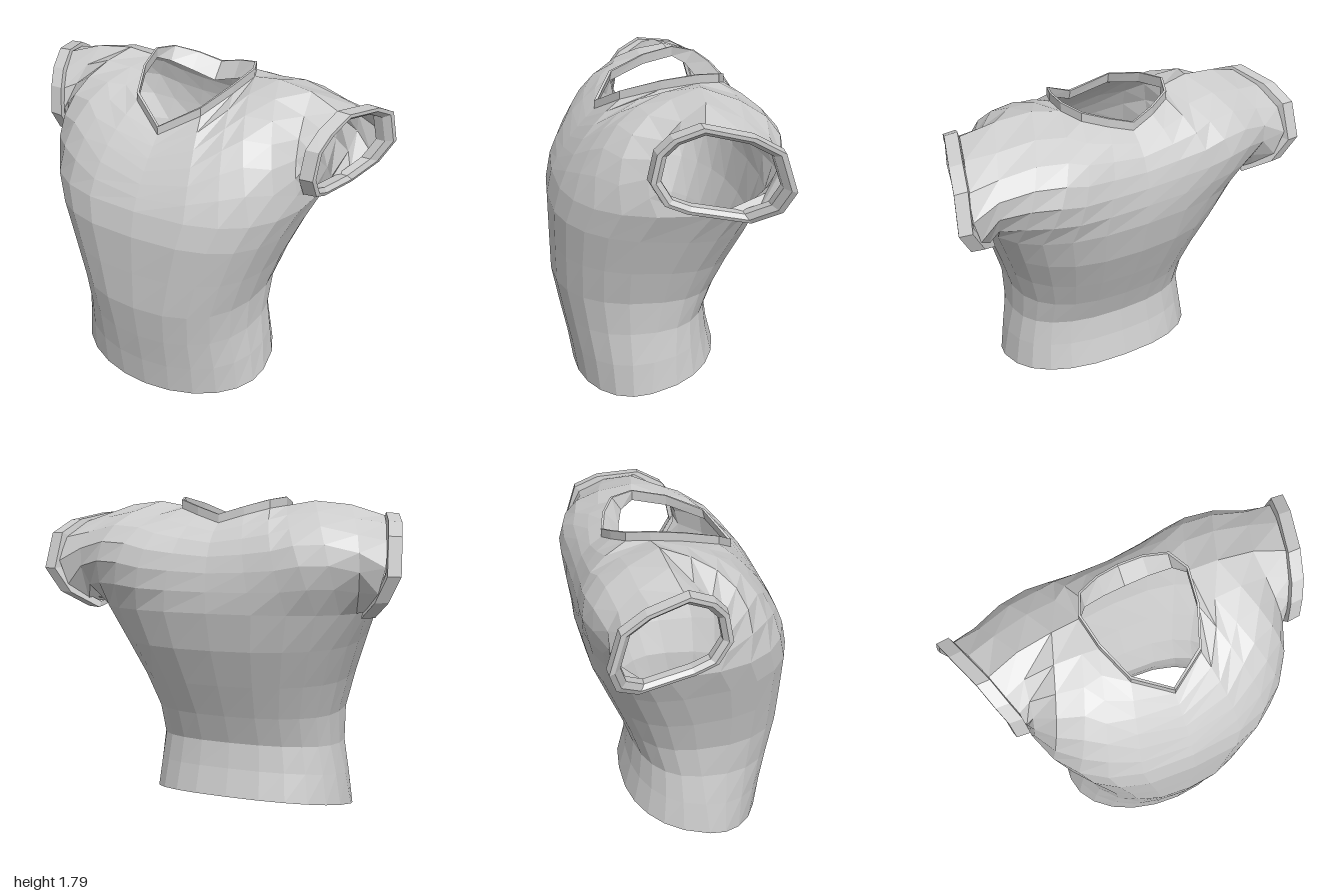
import * as THREE from 'three';

const material = new THREE.MeshStandardMaterial({ color: 0xcccccc, flatShading: true, side: THREE.DoubleSide });
const { lerp, clamp } = THREE.MathUtils;
const V = (p) => new THREE.Vector3(...p);

// Slight natural twist: hem drifts to the right, the left shoulder blade sits further back
function pose(p) {
  const rear = clamp(-p.z / 0.4, 0, 1) * clamp(p.y - 0.4, 0, 1);
  return new THREE.Vector3(
    p.x - 0.015 * clamp(1 - p.y / 1.2, 0, 1), p.y, p.z - 0.05 * clamp(p.x, -0.4, 0.4) * rear);
}

// Surface through rows of points; columns run to the right, rows run upward.
function loft(name, rows, closed = false) {
  const n = rows[0].length, index = [];
  for (let i = 0; i < rows.length - 1; i++) {
    for (let j = 0; j < (closed ? n : n - 1); j++) {
      const k = (j + 1) % n;
      const a = i * n + j, b = i * n + k, c = b + n, d = a + n;
      index.push(a, b, c, a, c, d);
    }
  }
  const geometry = new THREE.BufferGeometry().setFromPoints(rows.flat().map(pose));
  geometry.setIndex(index);
  geometry.computeVertexNormals();
  const mesh = new THREE.Mesh(geometry, material);
  mesh.name = name;
  return mesh;
}

const flipX = (p) => new THREE.Vector3(-p.x, p.y, p.z);
// Half row (centre to side) -> full row from -x to +x
const fullRow = (half) => [...half.slice(1).reverse().map(flipX), ...half];

// Body rings: front height, back height, half width, front z, back z, side z
const RINGS = [
  [0.00, 0.17, 0.58, 0.47, -0.34, 0.10],
  [0.20, 0.32, 0.555, 0.50, -0.30, 0.08],
  [0.40, 0.46, 0.525, 0.54, -0.28, 0.06],
  [0.62, 0.62, 0.53, 0.58, -0.34, 0.03],
  [0.85, 0.80, 0.59, 0.583, -0.42, 0.00],
  [1.08, 1.00, 0.67, 0.585, -0.505, -0.07],
  [1.22, 1.20, 0.745, 0.555, -0.555, -0.17],
];
const COLS = 6, UPPER_ROWS = 6;

// The front is round at the hem and squarer at the chest
function halfRing([yf, yb, w, zf, zb, zs], isFront) {
  const power = isFront ? lerp(1, 0.72, Math.min(1, yf)) : 0.83;
  return Array.from({ length: COLS + 1 }, (_, j) => {
    const a = (j / COLS) * Math.PI / 2;
    const x = w * Math.sin(a) ** power;
    const z = lerp(zs, isFront ? zf : zb, Math.max(0, Math.cos(a)) ** power);
    return new THREE.Vector3(x, lerp(yf, yb, (zf - z) / (zf - zb)), z);
  });
}

// Neckline, then the shoulder seam out to the sleeve
const NECK_FRONT = [[0, 1.55, 0.31], [0.19, 1.655, 0.2], [0.27, 1.72, 0], [0.3, 1.75, -0.18]];
const NECK_BACK = [[0, 1.66, -0.39], [0.13, 1.7, -0.36], [0.25, 1.735, -0.3], [0.3, 1.75, -0.18]];
const SEAM = [[0.45, 1.775, -0.16], [0.64, 1.755, -0.14]];

// Bulge control point per column, and the armhole edge
const FRONT = {
  tops: [...NECK_FRONT, ...SEAM],
  bulge: [[0, 1.42, 0.46], [0.26, 1.5, 0.44], [0.39, 1.65, 0.39], [0.48, 1.74, 0.4], [0.62, 1.7, 0.35], [0.7, 1.52, 0.26]],
  armhole: [[0.725, 1.3, 0.06], [0.73, 1.45, 0.12], [0.765, 1.6, 0.06], [0.81, 1.7, -0.1]],
};
const BACK = {
  tops: [...NECK_BACK, ...SEAM],
  bulge: [[0, 1.55, -0.59], [0.2, 1.56, -0.62], [0.36, 1.58, -0.69], [0.5, 1.63, -0.77], [0.68, 1.63, -0.76], [0.88, 1.56, -0.72]],
  armhole: [[0.82, 1.24, -0.39], [0.9, 1.37, -0.47], [0.92, 1.53, -0.45], [0.87, 1.65, -0.3], [0.81, 1.7, -0.1]],
};

function panel(name, spec, isFront) {
  const rows = RINGS.map((r) => halfRing(r, isFront));
  const base = rows[rows.length - 1];
  const curves = spec.tops.map((top, j) => new THREE.QuadraticBezierCurve3(base[j], V(spec.bulge[j]), V(top)));
  curves.push(new THREE.CatmullRomCurve3([base[COLS], ...spec.armhole.map(V)]));
  for (let k = 1; k <= UPPER_ROWS; k++) rows.push(curves.map((c) => c.getPoint(k / UPPER_ROWS)));
  return loft(name, rows.map((r) => (isFront ? fullRow(r) : fullRow(r).reverse())));
}

// Raised band around the neck opening
function collar() {
  const front = fullRow(NECK_FRONT.map(V));
  const back = fullRow(NECK_BACK.map(V)).reverse().slice(1, -1);
  const outer = [...front, ...back];
  const rim = (inset) => outer.map((p) =>
    new THREE.Vector3(p.x * (1 - inset), p.y + 0.045, (p.z + 0.1) * (1 - inset) - 0.1));
  const inner = outer.map((p) => {
    const rear = clamp((-p.z - 0.18) / 0.2, 0, 1);
    return new THREE.Vector3(p.x * 0.97, p.y - 0.01 - 0.03 * rear, p.z + 0.09 * rear);
  });
  return loft('collar', [outer, rim(0), rim(0.04), inner], true);
}

// Sleeve band: outer rim of the left armhole
const RIM = [
  [0.8, 1.42, 0.15], [0.81, 1.57, 0.12], [0.84, 1.65, 0.05], [0.88, 1.71, -0.08],
  [0.95, 1.67, -0.3], [0.985, 1.6, -0.43], [1, 1.41, -0.49], [0.93, 1.28, -0.45],
  [0.83, 1.19, -0.33], [0.8, 1.25, -0.03], [0.8, 1.3, 0.08],
];

function cuff(name, side) {
  const rim = RIM.map(V);
  const centre = rim.reduce((s, p) => s.add(p), new THREE.Vector3()).divideScalar(rim.length);
  const ring = (scale, dx) => rim.map((p) => {
    const q = p.clone().sub(centre).multiplyScalar(scale).add(centre);
    q.x += dx;
    return side > 0 ? q : flipX(q);
  });
  const rows = [ring(0.9, -0.075), ring(1.02, -0.07), ring(1, 0), ring(0.92, 0.002), ring(0.83, -0.025), ring(0.83, -0.075)];
  // Keep the outward face on both sides
  return loft(name, side > 0 ? rows.map((r) => r.reverse()) : rows, true);
}

export function createModel() {
  const group = new THREE.Group();
  group.name = 'shirt';
  group.add(
    panel('frontPanel', FRONT, true),
    panel('backPanel', BACK, false),
    collar(),
    cuff('leftCuff', 1),
    cuff('rightCuff', -1),
  );
  return group;
}
